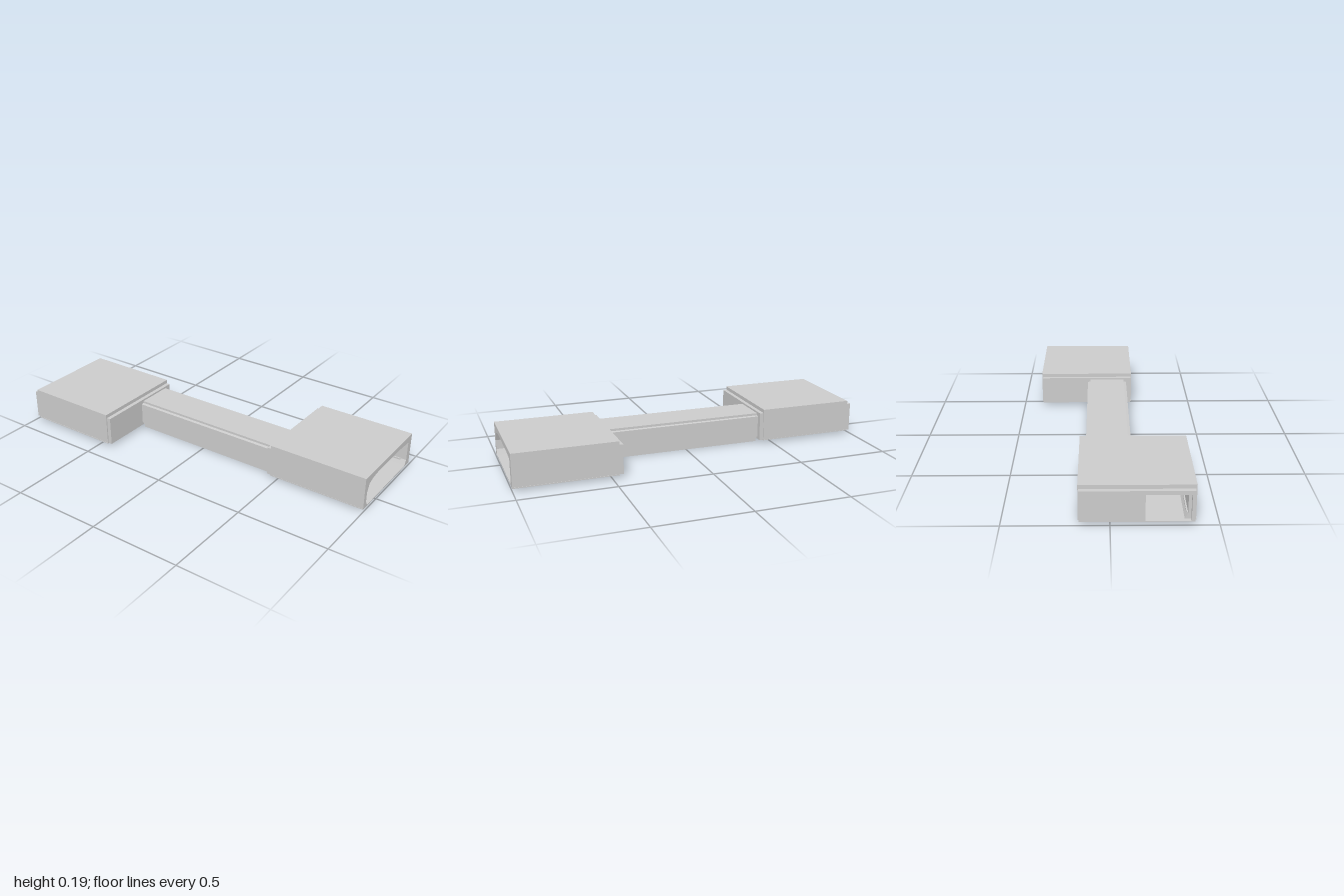
import * as THREE from 'three';

const mat = new THREE.MeshStandardMaterial({ color: 0xcccccc, flatShading: true });

function add(parent, name, geo, x = 0, y = 0, z = 0) {
  const m = new THREE.Mesh(geo, mat);
  m.name = name;
  m.position.set(x, y, z);
  parent.add(m);
  return m;
}

// Box given by its min and max corners
function box(parent, name, x0, x1, y0, y1, z0, z1) {
  return add(parent, name, new THREE.BoxGeometry(x1 - x0, y1 - y0, z1 - z0),
    (x0 + x1) / 2, (y0 + y1) / 2, (z0 + z1) / 2);
}

const points = list => list.map(([x, y]) => new THREE.Vector2(x, y));
const rect = (x0, x1, y0, y1) => [[x0, y0], [x1, y0], [x1, y1], [x0, y1]];

// Outline with a hole, extruded along z
function tunnel(parent, name, outline, hole, z0, z1) {
  const s = new THREE.Shape(points(outline));
  s.holes.push(new THREE.Path(points(hole)));
  add(parent, name, new THREE.ExtrudeGeometry(s, { depth: z1 - z0, bevelEnabled: false }), 0, 0, z0);
}

const FLOOR = 0.022, BASE = 0.018;

// Chamfered interior of a room
const interior = [[-0.105, FLOOR], [0.34, FLOOR], [0.355, 0.05], [0.355, 0.157], [0.26, 0.165],
  [0, 0.167], [-0.06, 0.16], [-0.1, 0.145], [-0.12, 0.1], [-0.12, 0.05]];

// Doorway and corridor interior
const doorway = [[-0.1, FLOOR], [0.1, FLOOR], [0.1, 0.125], [0.08, 0.145],
  [-0.08, 0.145], [-0.1, 0.125]];

// Room from its inner end at zIn to its outer end at z = 1
function room(name, zIn, endWall) {
  const g = new THREE.Group();
  g.name = name;
  const zOut = endWall ? 0.978 : 1;
  tunnel(g, 'roomShell', rect(-0.146, 0.392, BASE, 0.195), interior, zIn + 0.022, zOut);
  tunnel(g, 'doorWall', rect(-0.142, 0.386, BASE, 0.175), doorway, zIn, zIn + 0.022);
  box(g, 'floorSkirt', -0.147, 0.394, 0.016, 0.021, zIn + 0.022, zOut);
  if (endWall) {
    tunnel(g, 'endWall', rect(-0.142, 0.386, BASE, 0.175), rect(0.16, 0.37, FLOOR, 0.155), zOut, 1);
  }

  // Wall rails and side niche
  for (const y of [0.048, 0.15]) {
    box(g, 'wallRail', 0.348, 0.356, y - 0.004, y + 0.004, zIn + 0.022, 0.97);
    box(g, 'backRail', 0.11, 0.35, y - 0.003, y + 0.003, zIn + 0.022, zIn + 0.03);
  }
  box(g, 'sidePanel', -0.121, -0.098, 0.065, 0.105, 0.6, 0.85);

  // Central pillar with a stepped base, narrow waist and ceiling plate
  const profile = points([[0, FLOOR], [0.024, FLOOR], [0.024, 0.034], [0.03, 0.036], [0.03, 0.05],
    [0.022, 0.052], [0.017, 0.075], [0.025, 0.08], [0.025, 0.087], [0.022, 0.09],
    [0.022, 0.16], [0, 0.16]]);
  add(g, 'pillar', new THREE.LatheGeometry(profile, 8), 0.12, 0, 0.85);
  add(g, 'ceilingPlate', new THREE.CylinderGeometry(0.055, 0.045, 0.007, 8), 0.125, 0.163, 0.85);
  return g;
}

export function createModel() {
  const model = new THREE.Group();
  model.name = 'twoRoomsWithCorridor';

  // The two rooms are offset to opposite sides
  const front = room('frontRoom', 0.44, false);
  const back = room('backRoom', 0.425, true);
  back.rotation.y = Math.PI;
  model.add(front, back);

  // Hollow corridor with stepped shoulders
  const c = new THREE.Group();
  c.name = 'corridor';
  model.add(c);
  const half = [[0.104, BASE], [0.104, 0.028], [0.115, 0.032], [0.115, 0.15], [0.1, 0.153], [0.1, 0.165]];
  const section = [...half, ...half.map(([x, y]) => [-x, y]).reverse()];
  tunnel(c, 'corridorShell', section, doorway, -0.425, 0.44);
  box(c, 'floorPlate', -0.102, 0.1, 0, 0.02, -0.42, 0.44);

  return model;
}
